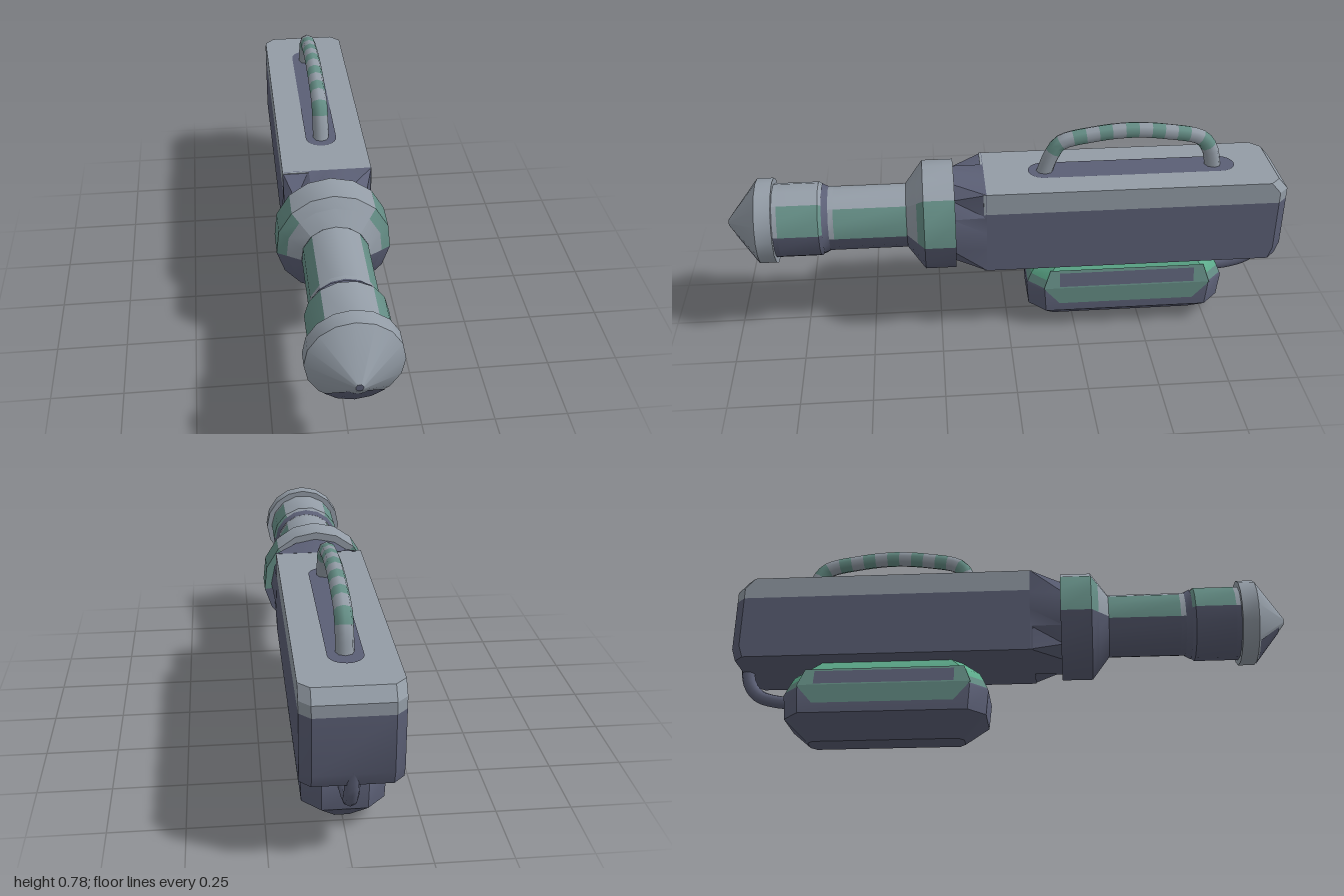
import * as THREE from 'three';
import { toCreasedNormals } from 'three/addons/utils/BufferGeometryUtils.js';

const V = (x, y, z) => new THREE.Vector3(x, y, z);
const rad = THREE.MathUtils.degToRad;

// Skin a stack of equal-sized rings, counter-clockwise seen from the end of travel
function loft(rings, capStart = true, capEnd = true) {
  const pos = [];
  const tri = (...pts) => pts.forEach((p) => pos.push(p.x, p.y, p.z));
  const n = rings[0].length;
  for (let k = 0; k + 1 < rings.length; k++) {
    const a = rings[k], b = rings[k + 1];
    for (let i = 0; i < n; i++) {
      const j = (i + 1) % n;
      tri(a[i], a[j], b[j]);
      tri(a[i], b[j], b[i]);
    }
  }
  const cap = (r, flip) => {
    const c = r.reduce((s, p) => s.add(p), V(0, 0, 0)).divideScalar(n);
    for (let i = 0; i < n; i++) {
      const j = (i + 1) % n;
      if (flip) tri(c, r[j], r[i]); else tri(c, r[i], r[j]);
    }
  };
  if (capStart) cap(rings[0], true);
  if (capEnd) cap(rings[rings.length - 1], false);
  const g = new THREE.BufferGeometry();
  g.setAttribute('position', new THREE.Float32BufferAttribute(pos, 3));
  return toCreasedNormals(g, 0.5);
}

export function createModel() {
  const material = (name, color, side = THREE.FrontSide) => {
    const m = new THREE.MeshStandardMaterial({ color, side });
    m.name = name;
    return m;
  };
  const grey = material('light grey', 0x939ca6);
  const dark = material('dark slate', 0x5b5f75, THREE.DoubleSide);
  const teal = material('muted teal', 0x658e86, THREE.DoubleSide);
  const green = material('bright green', 0x5fae8e);

  const model = new THREE.Group();
  const add = (name, geometry, mat, parent = model) => {
    const mesh = new THREE.Mesh(geometry, mat);
    mesh.name = name;
    parent.add(mesh);
    return mesh;
  };
  const axisY = 0.44;

  // Main housing: stacked footprints with cut rear corners and a sloped rear top edge
  const footprint = (y, back, cut) => [
    [0.157, 0.09], [0.157, back + cut], [0.157 - cut, back], [-0.157 + cut, back],
    [-0.157, back + cut], [-0.157, 0.09],
  ].map(([x, z]) => V(x, y, z));
  add('housingLower', loft([footprint(0.285, -0.985, 0.035), footprint(0.33, -1, 0.035),
    footprint(0.52, -1, 0.035)], true, false), dark);
  add('housingTop', loft([footprint(0.52, -1, 0.035), footprint(0.56, -1, 0.035),
    footprint(0.6, -0.965, 0.035)], false, true), grey);

  // Neck blending the square housing into the round collar
  const squareRing = [], roundRing = [];
  for (let i = 0; i < 16; i++) {
    const a = (i / 16) * Math.PI * 2, c = Math.cos(a), s = Math.sin(a);
    const k = 0.1575 / Math.max(Math.abs(c), Math.abs(s));
    squareRing.push(V(c * k, axisY + 0.003 + s * k, 0.08));
    roundRing.push(V(c * 0.172, axisY + s * 0.172, 0.2));
  }
  add('neck', loft([squareRing, roundRing]), dark);

  // Sector of a turned shape about the barrel axis; angle 0 points down, 90 to the left
  const sector = (profile, from, to) => {
    const pts = profile.map(([r, z]) => new THREE.Vector2(r, z));
    const steps = Math.max(1, Math.round((to - from) / 22.5));
    const g = new THREE.LatheGeometry(pts, steps, rad(from), rad(to - from));
    g.rotateX(Math.PI / 2).translate(0, axisY, 0);
    return toCreasedNormals(g, 0.5);
  };
  const turned = (name, profile, low, high, sideMat) => {
    const group = new THREE.Group();
    group.name = name;
    add('underside', sector(profile, -low, low), dark, group);
    add('leftPanel', sector(profile, low, high), sideMat, group);
    add('rightPanel', sector(profile, -high, -low), sideMat, group);
    add('top', sector(profile, high, 360 - high), grey, group);
    model.add(group);
  };
  turned('collar', [[0.15, 0.19], [0.198, 0.19], [0.198, 0.3], [0.165, 0.325]], 83, 134, teal);
  turned('collarSlope', [[0.165, 0.325], [0.116, 0.362]], 83, 134, grey);
  turned('barrel', [[0.116, 0.362], [0.116, 0.62]], 80, 136, teal);
  turned('barrelEnd', [[0.116, 0.62], [0.116, 0.64]], 80, 136, grey);
  add('barrelBand', sector([[0.117, 0.638], [0.12, 0.645], [0.128, 0.66]], 0, 360), dark);
  turned('muzzleSleeve', [[0.12, 0.655], [0.135, 0.672], [0.135, 0.815]], 93, 142, teal);
  turned('muzzleSleeveEnd', [[0.135, 0.815], [0.135, 0.84]], 93, 142, grey);
  add('muzzleRing', sector([[0.12, 0.832], [0.155, 0.832], [0.155, 0.89]], 0, 360), grey);
  add('muzzleCone', sector([[0.155, 0.89], [0.012, 1]], 0, 360), grey);
  add('coneUnderside', sector([[0.15, 0.896], [0.045, 0.9768]], -40, 40), dark);
  add('muzzleHole', new THREE.CircleGeometry(0.013, 12).translate(0, axisY, 0.9995), dark);

  // Dark inlay under the handle
  const inlay = new THREE.Shape();
  inlay.absarc(0, 0.32, 0.056, 0, Math.PI);
  inlay.absarc(0, -0.32, 0.056, Math.PI, Math.PI * 2);
  add('handleInlay', new THREE.ShapeGeometry(inlay, 6)
    .rotateX(-Math.PI / 2).translate(0, 0.603, -0.455), dark);

  // Arched carrying handle with alternating grip bands
  const arch = [[-0.135, 0.59], [-0.165, 0.67], [-0.195, 0.712], [-0.31, 0.74], [-0.445, 0.752],
    [-0.58, 0.74], [-0.70, 0.712], [-0.735, 0.67], [-0.755, 0.59]];
  const path = new THREE.CatmullRomCurve3(arch.map(([z, y]) => V(0, y, z)));
  const bands = 17, sides = 8, perBand = 2;
  const handle = new THREE.TubeGeometry(path, bands * perBand, 0.029, sides);
  for (let i = 0; i < bands; i++) {
    const size = sides * 6 * perBand;
    handle.addGroup(i * size, size, i > 1 && i < bands - 2 && i % 2 === 0 ? 1 : 0);
  }
  add('handle', handle, [grey, teal]);

  // Power pack: stacked eight-sided layers [y, half width, half length]
  const layer = ([y, w, l]) => {
    const c = w * 0.45;
    return [[w, l - c], [w, c - l], [w - c, -l], [c - w, -l],
      [-w, c - l], [-w, l - c], [c - w, l], [w - c, l]].map(([x, z]) => V(x, y, z - 0.44));
  };
  const stack = (layers, start, end) => loft(layers.map(layer), start, end);
  const seamLow = [0.175, 0.1345, 0.364], seamHigh = [0.205, 0.127, 0.351];
  add('packBase', stack([[0, 0.045, 0.28], [0.075, 0.134, 0.36], [0.165, 0.137, 0.368], seamLow],
    true, false), dark);
  add('packBand', stack([seamLow, seamHigh], false, false), teal);
  add('packTop', stack([seamHigh, [0.235, 0.119, 0.335], [0.287, 0.083, 0.27]], false, true), green);

  // Thin side panels on the pack: rows of [x, y, half length]
  const sidePanel = (name, low, high, mat) => {
    for (const s of [1, -1]) {
      const corner = ([x, y, l], e) => [s * x, y, -0.44 + s * e * l];
      const [a, b, c, d] = [corner(low, 1), corner(low, -1), corner(high, -1), corner(high, 1)];
      const g = new THREE.BufferGeometry();
      g.setAttribute('position', new THREE.Float32BufferAttribute([a, b, c, a, c, d].flat(), 3));
      g.computeVertexNormals();
      add((s > 0 ? 'left' : 'right') + name, g, mat);
    }
  };
  sidePanel('PackStripeLower', [0.1385, 0.11, 0.25], [0.1395, 0.178, 0.31], teal);
  sidePanel('PackStripeUpper', [0.1375, 0.175, 0.31], [0.1215, 0.245, 0.285], teal);
  sidePanel('PackInset', [0.138, 0.183, 0.25], [0.1265, 0.235, 0.25], dark);

  // Hose from the pack to the rear of the housing
  const hose = new THREE.CatmullRomCurve3([V(0, 0.165, -0.77), V(0, 0.17, -0.84),
    V(0, 0.195, -0.92), V(0, 0.245, -0.96), V(0, 0.34, -0.978)]);
  add('hose', new THREE.TubeGeometry(hose, 14, 0.024, 8), dark);

  return model;
}
